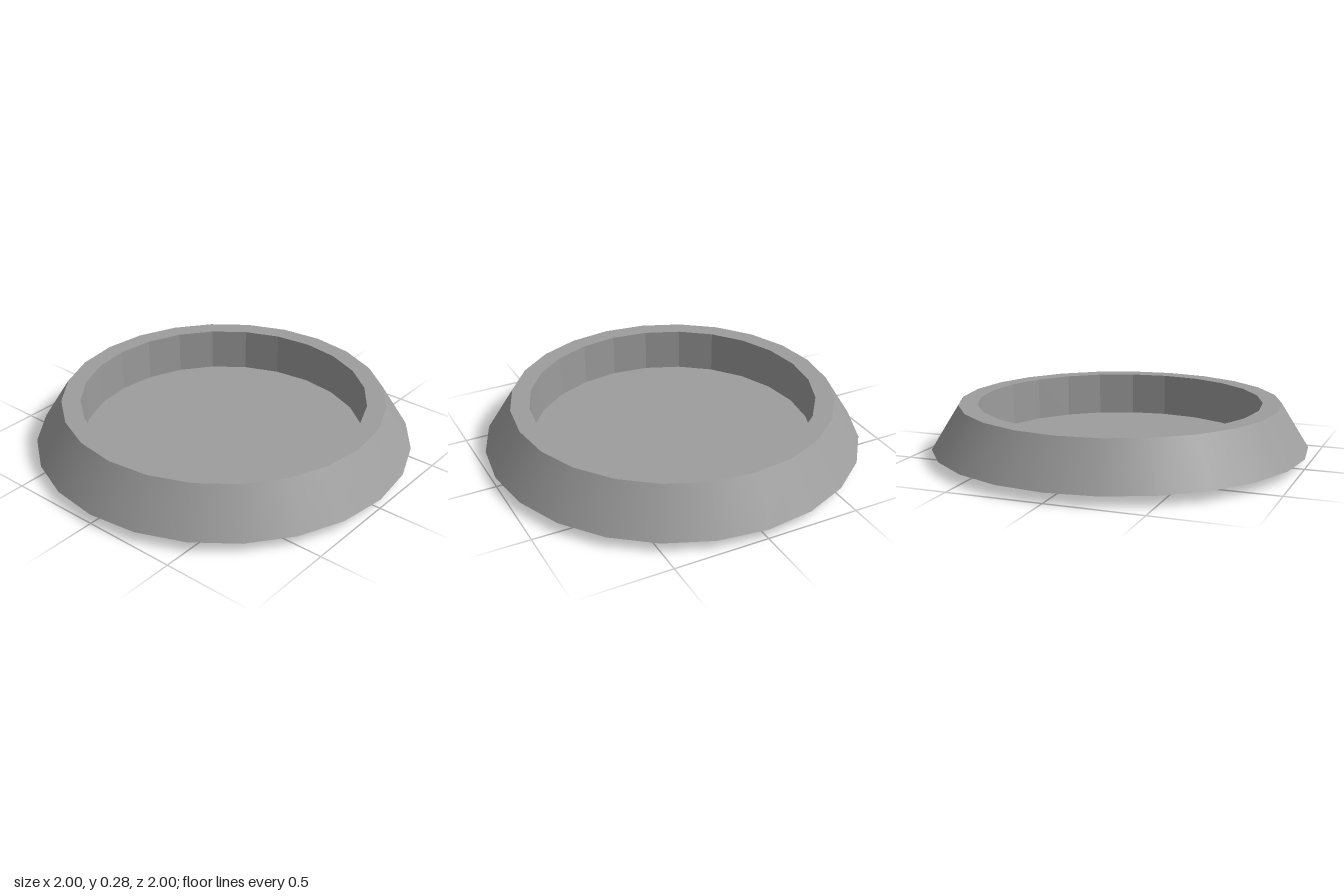
import * as THREE from 'three';

const SIDES = 24;
const BASE_TOP = 0.052, RIM_TOP = 0.285;
const INNER_R = 0.755, LIP_R = 0.855, OUTER_R = 1;

function addPart(group, name, geometry, flatShading) {
  const material = new THREE.MeshStandardMaterial({ color: 0x9d9d9d, flatShading });
  const mesh = new THREE.Mesh(geometry, material);
  mesh.name = name;
  group.add(mesh);
  return mesh;
}

export function createModel() {
  const group = new THREE.Group();
  group.name = 'shallowDish';

  // Faceted foot disc; its top is the floor of the dish
  const base = addPart(group, 'baseDisc',
    new THREE.CylinderGeometry(INNER_R, INNER_R, BASE_TOP, SIDES), true);
  base.position.y = BASE_TOP / 2;

  // Smooth sloping outside of the rim
  const slope = addPart(group, 'rimSlope',
    new THREE.CylinderGeometry(LIP_R, OUTER_R, RIM_TOP - BASE_TOP, SIDES, 1, true), false);
  slope.position.y = (BASE_TOP + RIM_TOP) / 2;

  // Flat lip, faceted inner wall and flat underside of the rim
  const profile = [
    [LIP_R, RIM_TOP],
    [INNER_R, RIM_TOP],
    [INNER_R, BASE_TOP],
    [OUTER_R, BASE_TOP],
  ].map(([r, y]) => new THREE.Vector2(r, y));
  addPart(group, 'rimLipAndInnerWall', new THREE.LatheGeometry(profile, SIDES), true);

  return group;
}
